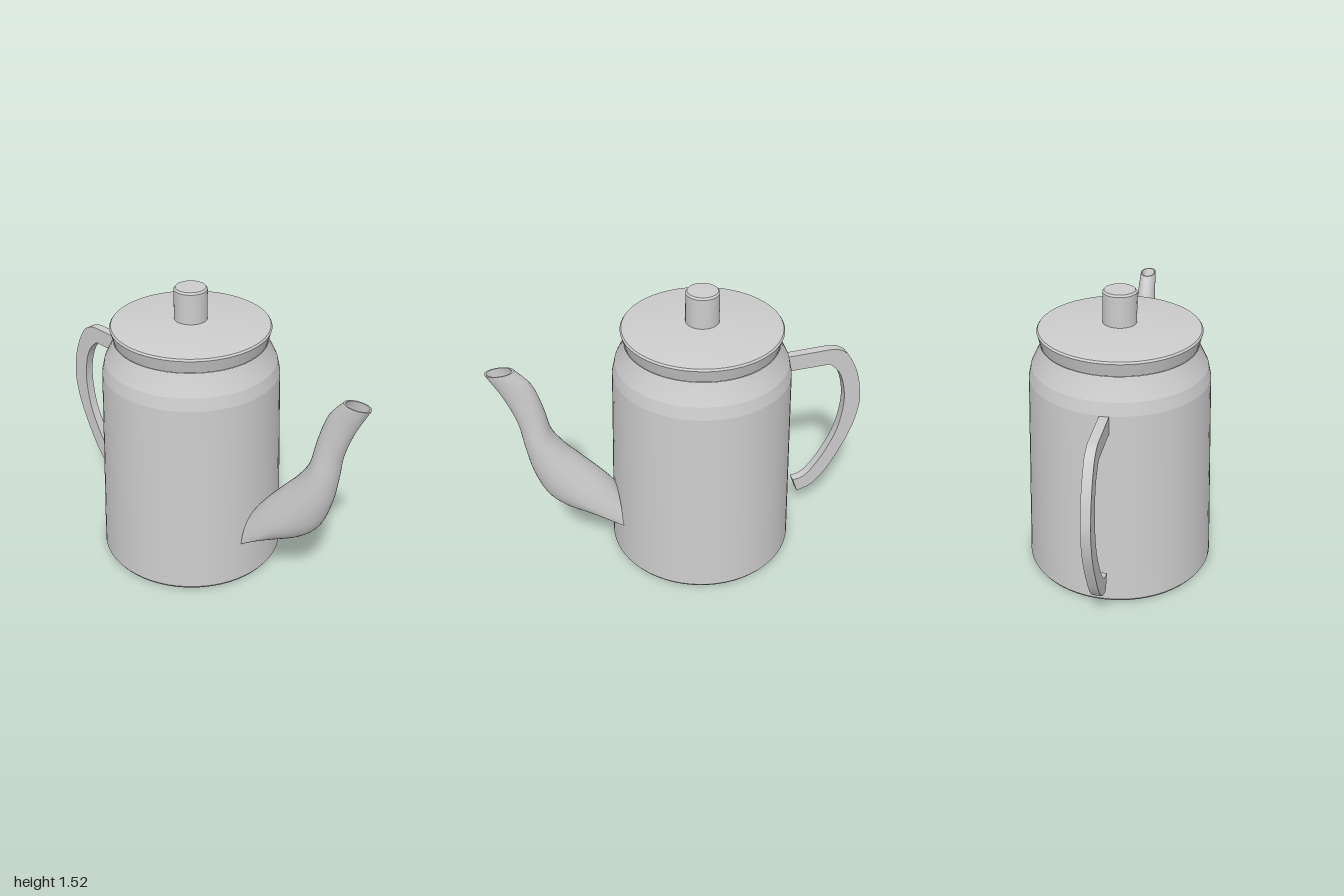
import * as THREE from 'three';
import { toCreasedNormals } from 'three/addons/utils/BufferGeometryUtils.js';

const BODY_Z = -0.09;

export function createModel() {
  const pot = new THREE.Group();
  pot.name = 'teapot';
  const metal = new THREE.MeshStandardMaterial({ color: 0xcccccc, side: THREE.DoubleSide });
  metal.name = 'light grey metal';

  const add = (name, geometry) => {
    const mesh = new THREE.Mesh(geometry, metal);
    mesh.name = name;
    pot.add(mesh);
    return mesh;
  };

  // Turned parts share the body axis; creases keep the profile bands crisp
  const turned = (name, profile, segments = 64) => {
    const geo = new THREE.LatheGeometry(profile.map(([r, y]) => new THREE.Vector2(r, y)), segments);
    add(name, toCreasedNormals(geo, 0.14)).position.z = BODY_Z;
  };
  turned('body', [[0, 0], [0.485, 0], [0.495, 0.015], [0.46, 1.07], [0.445, 1.135], [0.41, 1.205], [0.395, 1.245]]);
  turned('lid', [[0, 1.245], [0.393, 1.245], [0.412, 1.315], [0.405, 1.325], [0.29, 1.341], [0.15, 1.35], [0, 1.353]]);
  turned('lidKnob', [[0.085, 1.33], [0.085, 1.51], [0.077, 1.52], [0, 1.522]]);

  // Spout: outer edge, inner edge (z, y), half width and flatness of the underside
  const sections = [
    [0.385, 0.24, 0.39, 0.425, 0.142, 1],
    [0.47, 0.275, 0.415, 0.465, 0.142, 0.7],
    [0.57, 0.32, 0.465, 0.53, 0.139, 0.4],
    [0.68, 0.38, 0.515, 0.59, 0.132, 0.15],
    [0.765, 0.47, 0.57, 0.655, 0.12, 0],
    [0.82, 0.62, 0.64, 0.74, 0.104, 0],
    [0.848, 0.77, 0.705, 0.85, 0.085, 0],
    [0.87, 0.92, 0.735, 0.99, 0.066, 0],
    [0.925, 1.08, 0.78, 1.13, 0.051, 0],
    [1.0, 1.23, 0.857, 1.23, 0.043, 0],
  ];
  const STEPS = 36, AROUND = 40;
  const tracks = sections[0].map((_, k) =>
    new THREE.CatmullRomCurve3(sections.map((s, i) => new THREE.Vector3(i, s[k], 0))));
  const spoutSection = (t, scale) => {
    const [z0, y0, z1, y1, width, flat] = tracks.map((c) => c.getPoint(t).y);
    const ring = [];
    for (let j = 0; j <= AROUND; j++) {
      const a = (j / AROUND) * Math.PI * 2;
      const s = Math.sin(a);
      const arch = s < 0 ? -1 : 2 * s - 1;
      const v = (THREE.MathUtils.lerp(s, arch, Math.max(flat, 0)) * scale + 1) / 2;
      ring.push(0.013 + Math.cos(a) * width * scale,
        THREE.MathUtils.lerp(y0, y1, v), THREE.MathUtils.lerp(z0, z1, v));
    }
    return ring;
  };
  const loft = (rings) => {
    const positions = rings.flat(), index = [], n = AROUND + 1;
    for (let i = 0; i < rings.length - 1; i++) {
      for (let j = 0; j < AROUND; j++) {
        const a = i * n + j, b = a + n;
        index.push(a, b, a + 1, b, b + 1, a + 1);
      }
    }
    const geo = new THREE.BufferGeometry();
    geo.setAttribute('position', new THREE.Float32BufferAttribute(positions, 3));
    geo.setIndex(index);
    // Loops run the other way round from the outward direction
    for (let i = 0; i < index.length; i += 3) [index[i], index[i + 1]] = [index[i + 1], index[i]];
    geo.setIndex(index);
    return toCreasedNormals(geo, 0.7);
  };
  const rings = [];
  for (let i = 0; i <= STEPS; i++) rings.push(spoutSection(i / STEPS, 1));
  // Fold over the rim and run back down inside
  for (let i = STEPS; i >= STEPS - 14; i--) rings.push(spoutSection(i / STEPS, 0.86));
  add('spout', loft(rings));

  // Handle: flat bar with a curved outline in the (z, y) plane
  const v2 = (list) => list.map(([z, y]) => new THREE.Vector2(z, y));
  const outline = new THREE.Shape();
  outline.moveTo(-0.555, 1.07);
  outline.lineTo(-0.79, 1.077);
  outline.splineThru(v2([[-0.84, 1.07], [-0.9, 1.03], [-0.96, 0.92], [-0.99, 0.81], [-1, 0.7],
    [-0.975, 0.56], [-0.92, 0.42], [-0.85, 0.285], [-0.785, 0.2], [-0.74, 0.165], [-0.67, 0.14]]));
  outline.lineTo(-0.64, 0.225);
  outline.splineThru(v2([[-0.695, 0.238], [-0.75, 0.29], [-0.82, 0.4], [-0.88, 0.54], [-0.905, 0.7],
    [-0.895, 0.82], [-0.86, 0.92], [-0.8, 0.985]]));
  outline.lineTo(-0.555, 0.98);
  outline.closePath();
  const bar = new THREE.ExtrudeGeometry(outline, { depth: 0.048, bevelEnabled: false, curveSegments: 4 });
  bar.rotateY(-Math.PI / 2);
  bar.translate(0.017, 0, 0);
  add('handle', toCreasedNormals(bar, 0.6));

  return pot;
}
